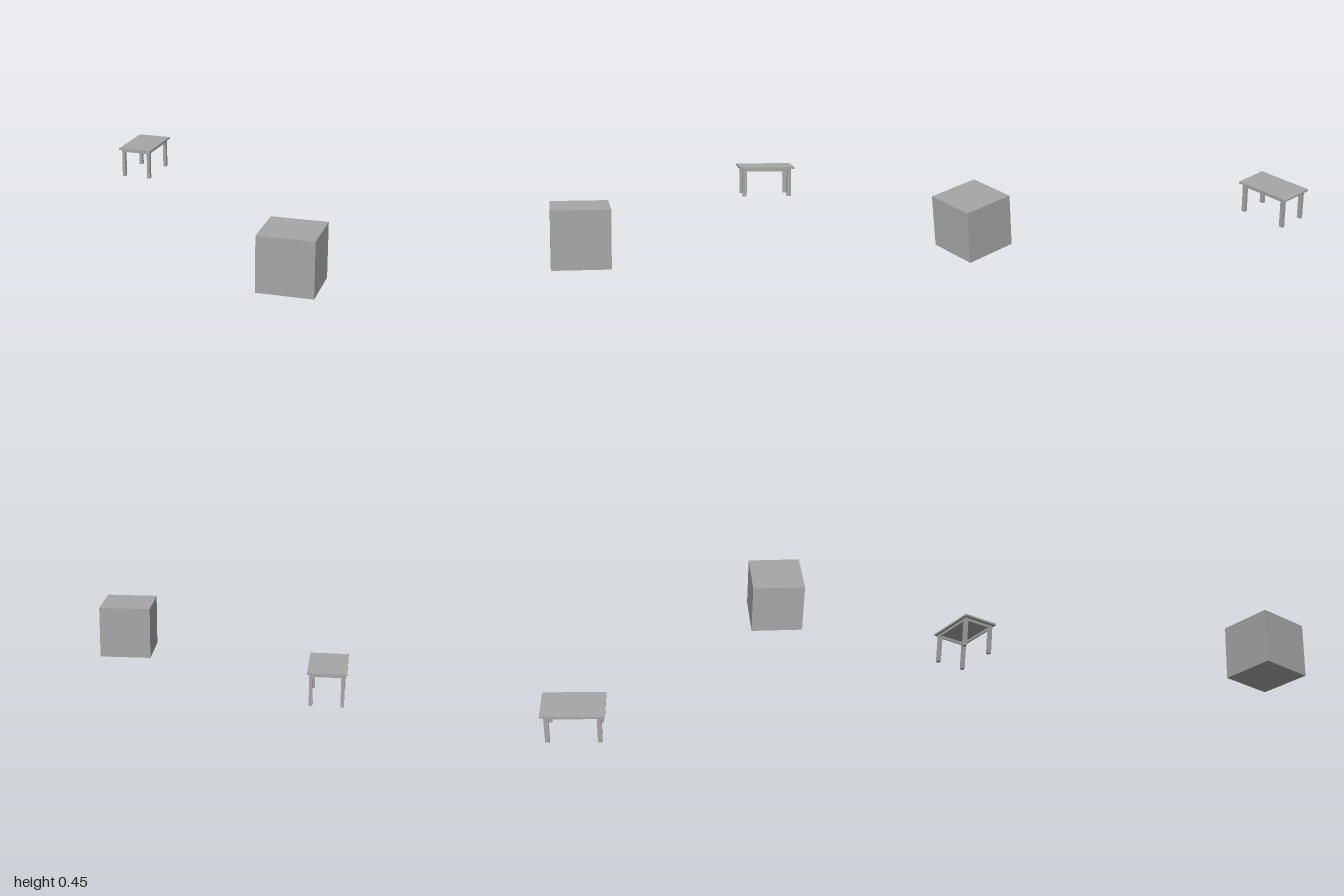
import * as THREE from 'three';

export function createModel() {
  const model = new THREE.Group();
  const grey = new THREE.MeshStandardMaterial({ color: 0xa6a6a6 });
  grey.name = 'plain grey';

  const box = (parent, name, w, h, d, x, y, z) => {
    const mesh = new THREE.Mesh(new THREE.BoxGeometry(w, h, d), grey);
    mesh.name = name;
    mesh.position.set(x, y, z);
    parent.add(mesh);
  };

  // Cube at the front left
  box(model, 'cube', 0.407, 0.408, 0.407, 0.781, 0.204, 0.796);

  // Raised table at the back right, turned slightly
  const table = new THREE.Group();
  table.name = 'table';
  table.position.set(-0.846, 0.21, -0.773);
  table.rotation.y = -0.034;
  model.add(table);

  const height = 0.241, topThick = 0.014, under = height - topThick;
  const outerX = 0.1185, outerZ = 0.1975; // outer faces of the legs
  const legW = 0.024, legD = 0.032;
  const apronH = 0.022, apronT = 0.01;

  box(table, 'tableTop', 0.267, topThick, 0.445, 0, under + topThick / 2, 0);

  for (const s of [-1, 1]) {
    // Two legs on each side
    for (const t of [-1, 1]) {
      box(table, 'leg', legW, under, legD,
        s * (outerX - legW / 2), under / 2, t * (outerZ - legD / 2));
    }
    // Rails between the legs, open underneath
    box(table, 'sideRail', apronT, apronH, 2 * (outerZ - legD),
      s * (outerX - 0.003 - apronT / 2), under - apronH / 2, 0);
    box(table, 'endRail', 2 * (outerX - legW), apronH, apronT,
      0, under - apronH / 2, s * (outerZ - 0.003 - apronT / 2));
  }
  return model;
}
